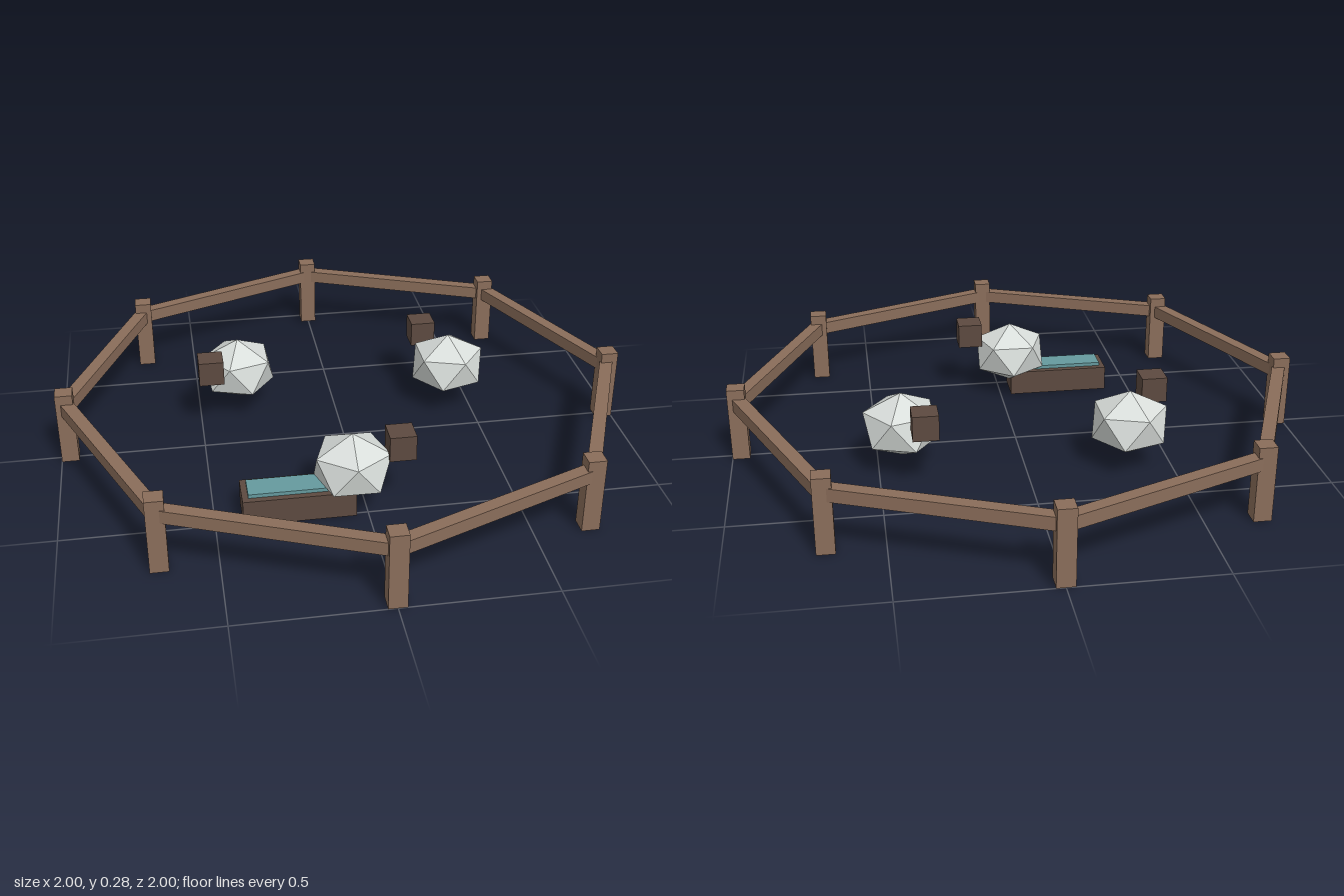
import * as THREE from 'three';

const makeMaterial = (name, color) => {
  const m = new THREE.MeshStandardMaterial({ color });
  m.name = name;
  return m;
};

export function createModel() {
  const wood = makeMaterial('fence brown', 0x8a6d5a);
  const dark = makeMaterial('dark brown', 0x5d4a40);
  const wool = makeMaterial('wool white', 0xd9dedb);
  const water = makeMaterial('water teal', 0x659a9e);

  const model = new THREE.Group();
  model.name = 'sheepPen';

  const addBox = (parent, name, material, size, pos) => {
    const mesh = new THREE.Mesh(new THREE.BoxGeometry(...size), material);
    mesh.name = name;
    mesh.position.set(...pos);
    parent.add(mesh);
    return mesh;
  };

  // Octagonal fence: square posts joined by single rails
  const fence = new THREE.Group();
  fence.name = 'fence';
  model.add(fence);
  const sides = 8, radius = 0.97;
  const step = (Math.PI * 2) / sides;
  const railLength = 2 * radius * Math.sin(step / 2);
  const railRadius = radius * Math.cos(step / 2);
  for (let i = 0; i < sides; i++) {
    const a = i * step, mid = a + step / 2;
    addBox(fence, 'fencePost', wood, [0.06, 0.26, 0.06],
      [Math.sin(a) * radius, 0.13, Math.cos(a) * radius]);
    const rail = addBox(fence, 'fenceRail', wood, [railLength, 0.045, 0.045],
      [Math.sin(mid) * railRadius, 0.203, Math.cos(mid) * railRadius]);
    rail.rotation.y = mid;
  }

  // Water trough
  const trough = new THREE.Group();
  trough.name = 'trough';
  model.add(trough);
  addBox(trough, 'troughBox', dark, [0.37, 0.09, 0.134], [-0.225, 0.045, 0.447]);
  addBox(trough, 'troughWater', water, [0.33, 0.02, 0.09], [-0.225, 0.093, 0.447]);

  // Faceted wool body standing on one vertex, slightly flattened
  const bodyShape = new THREE.IcosahedronGeometry(0.144, 0);
  bodyShape.rotateZ(Math.atan(2 / (1 + Math.sqrt(5))));

  // Each sheep: body centre, body turn, head centre
  const flock = [
    { body: [0.417, 0.165, -0.175], turn: Math.PI, head: [0.348, -0.328] },
    { body: [-0.352, 0.162, -0.266], turn: 0, head: [-0.459, -0.137] },
    { body: [-0.043, 0.154, 0.442], turn: 0.3, head: [0.112, 0.462] },
  ];
  for (const { body, turn, head } of flock) {
    const sheep = new THREE.Group();
    sheep.name = 'sheep';
    const fleece = new THREE.Mesh(bodyShape, wool);
    fleece.name = 'sheepBody';
    fleece.position.set(...body);
    fleece.rotation.y = turn;
    fleece.scale.y = 0.8;
    sheep.add(fleece);
    addBox(sheep, 'sheepHead', dark, [0.088, 0.088, 0.088], [head[0], 0.234, head[1]]);
    model.add(sheep);
  }

  return model;
}
